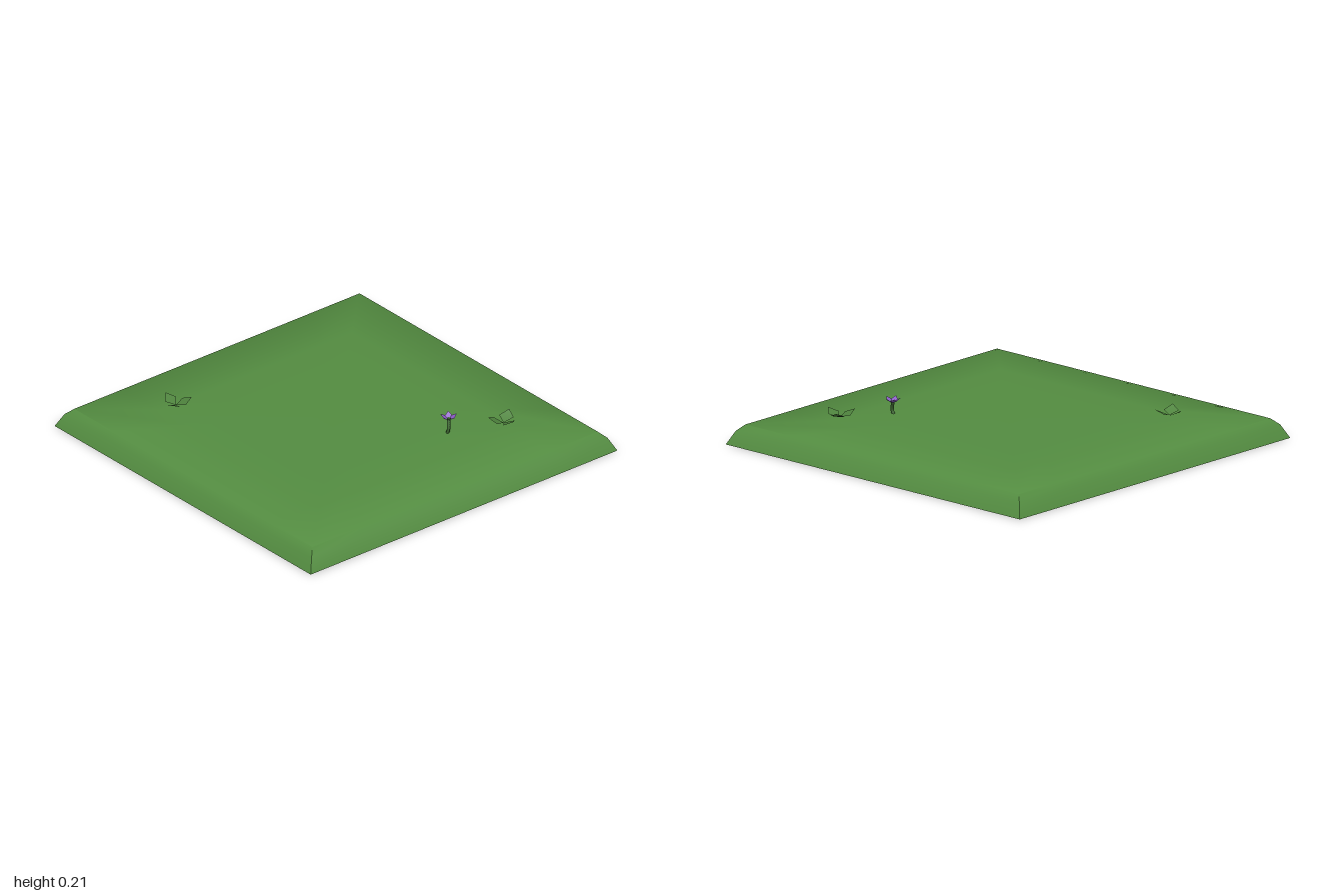
import * as THREE from 'three';
import { toCreasedNormals } from 'three/addons/utils/BufferGeometryUtils.js';

const material = (name, color) => {
  const m = new THREE.MeshStandardMaterial({ color, side: THREE.DoubleSide });
  m.name = name;
  return m;
};

// Open-bottomed grass mound: square rings [half width, height], with mitred corners
function moundGeometry() {
  const rings = [[1, 0], [0.965, 0.07], [0.93, 0.103], [0.62, 0.118], [0.33, 0.123], [0.001, 0.125]];
  const steps = 6;
  const pos = [];
  for (let side = 0; side < 4; side++) {
    const c = [1, 0, -1, 0][side], s = [0, 1, 0, -1][side];
    const point = (ring, i) => {
      const [r, y] = rings[ring];
      const u = r * (2 * i / steps - 1);
      return [u * c + r * s, y, r * c - u * s];
    };
    for (let k = 0; k < rings.length - 1; k++) {
      for (let i = 0; i < steps; i++) {
        const a = point(k, i), b = point(k, i + 1), d = point(k + 1, i), e = point(k + 1, i + 1);
        pos.push(...a, ...b, ...e, ...a, ...e, ...d);
      }
    }
  }
  const g = new THREE.BufferGeometry();
  g.setAttribute('position', new THREE.Float32BufferAttribute(pos, 3));
  return toCreasedNormals(g, 0.87);
}

// Diamond blade pointing along +x: base, two side corners, raised tip
function bladeGeometry(length, halfWidth, midRise, tipRise) {
  const g = new THREE.BufferGeometry();
  g.setAttribute('position', new THREE.Float32BufferAttribute([
    0, 0, 0, length * 0.55, midRise, halfWidth,
    length, tipRise, 0, length * 0.5, midRise, -halfWidth], 3));
  g.setIndex([0, 1, 3, 1, 2, 3]);
  g.computeVertexNormals();
  return g;
}

// Ring of equal blades around a centre
function whorl(name, geometry, mat, count, x, y, z, turn = 0) {
  const group = new THREE.Group();
  group.name = name;
  for (let i = 0; i < count; i++) {
    const blade = new THREE.Mesh(geometry, mat);
    blade.name = name + 'Blade';
    blade.rotation.y = turn + i * Math.PI * 2 / count;
    group.add(blade);
  }
  group.position.set(x, y, z);
  return group;
}

export function createModel() {
  const grass = material('grass green', 0x548d41);
  const leaf = material('leaf green', 0x4f843e);
  const stemGreen = material('stem green', 0x3f6b33);
  const purple = material('petal purple', 0x8a5cc4);
  const model = new THREE.Group();
  model.name = 'grassTile';

  const mound = new THREE.Mesh(moundGeometry(), grass);
  mound.name = 'ground';
  model.add(mound);

  // Two three-leaf sprouts, facing opposite ways
  const leafGeo = bladeGeometry(0.08, 0.038, 0.016, 0.038);
  model.add(whorl('backSprout', leafGeo, leaf, 3, 0.6, 0.134, -0.592));
  model.add(whorl('frontSprout', leafGeo, leaf, 3, -0.592, 0.134, 0.55, Math.PI));

  // Flower: bent stem, five petals and a small heart
  const path = new THREE.CatmullRomCurve3([
    new THREE.Vector3(0.474, 0.108, -0.325), new THREE.Vector3(0.486, 0.14, -0.328),
    new THREE.Vector3(0.479, 0.163, -0.334), new THREE.Vector3(0.468, 0.184, -0.343)]);
  const stem = new THREE.Mesh(new THREE.TubeGeometry(path, 8, 0.009, 5), stemGreen);
  stem.name = 'flowerStem';
  const petals = whorl('petals', bladeGeometry(0.043, 0.018, 0.015, 0.03), purple, 5, 0.468, 0.18, -0.345);
  const heart = new THREE.Mesh(new THREE.CylinderGeometry(0.011, 0.008, 0.012, 5), stemGreen);
  heart.name = 'flowerHeart';
  heart.position.set(0.468, 0.186, -0.345);
  model.add(stem, petals, heart);

  return model;
}
